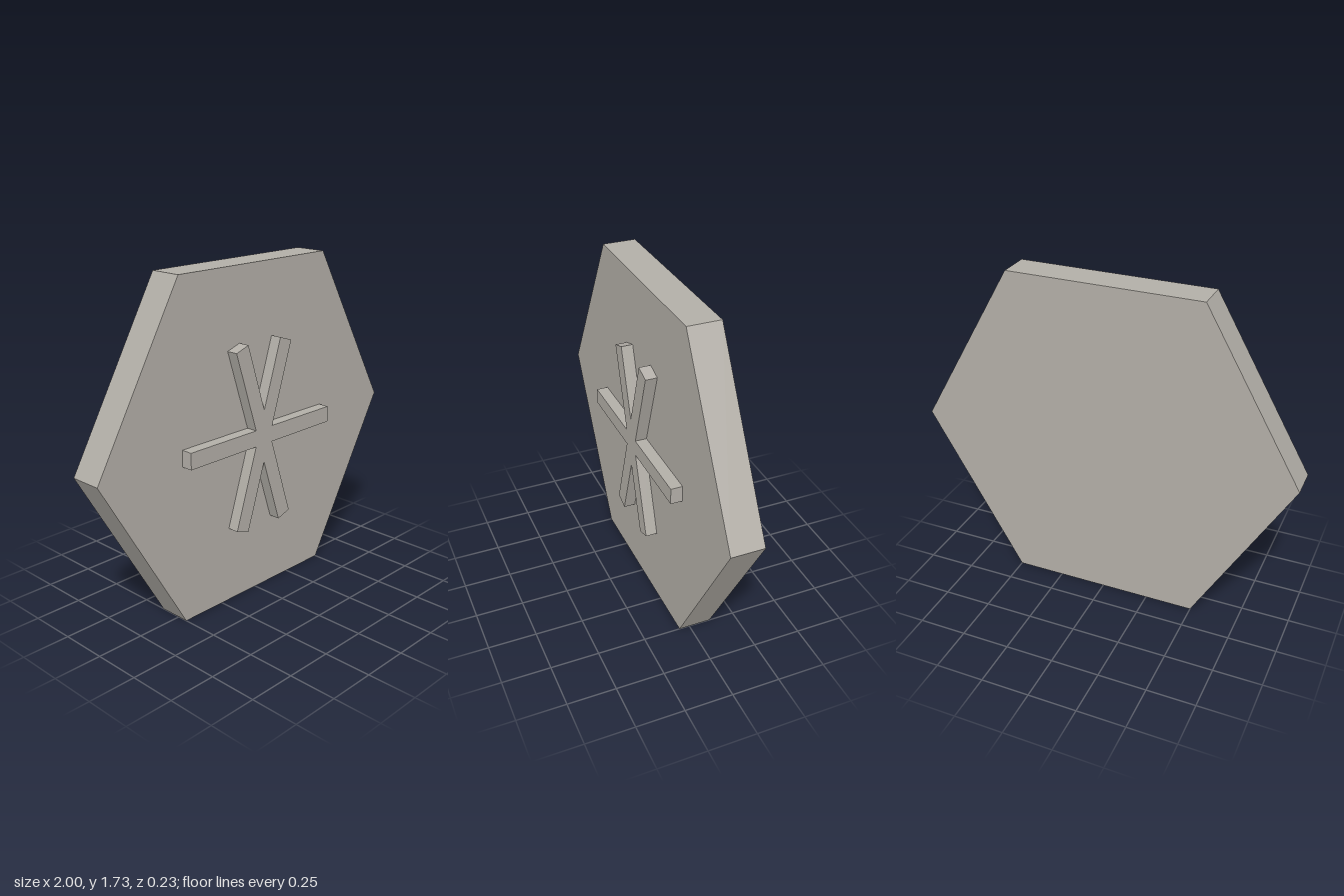
import * as THREE from 'three';

const CENTER_Y = Math.sqrt(3) / 2;

// Extrude a flat outline from zBack to zFront
function slab(name, points, zBack, zFront, material) {
  const geometry = new THREE.ExtrudeGeometry(new THREE.Shape(points), {
    depth: zFront - zBack, bevelEnabled: false,
  });
  const mesh = new THREE.Mesh(geometry, material);
  mesh.name = name;
  mesh.position.set(0, CENTER_Y, zBack);
  return mesh;
}

export function createModel() {
  const group = new THREE.Group();
  group.name = 'hexagonTile';
  const stone = new THREE.MeshStandardMaterial({ color: 0xb2aea7 });
  stone.name = 'warm grey';

  // Hexagonal plate with corners at left and right
  const hexagon = [];
  for (let i = 0; i < 6; i++) {
    const a = (i * Math.PI) / 3;
    hexagon.push(new THREE.Vector2(Math.cos(a), Math.sin(a)));
  }
  group.add(slab('hexagonPlate', hexagon, -0.115, 0.055, stone));

  // Raised six-armed star: two corners per arm tip, then the notch before the next arm
  const angles = [0, 72, 108, 180, 252, 288].map(THREE.MathUtils.degToRad);
  const length = 0.5, halfWidth = 0.0425;
  const star = [];
  angles.forEach((a, i) => {
    const next = i < 5 ? angles[i + 1] : Math.PI * 2;
    const halfGap = (next - a) / 2;
    for (const side of [-halfWidth, halfWidth]) {
      star.push(new THREE.Vector2(length, side).rotateAround(new THREE.Vector2(), a));
    }
    const r = halfWidth / Math.sin(halfGap);
    star.push(new THREE.Vector2(r * Math.cos(a + halfGap), r * Math.sin(a + halfGap)));
  });
  group.add(slab('raisedStar', star, 0.055, 0.115, stone));

  return group;
}
